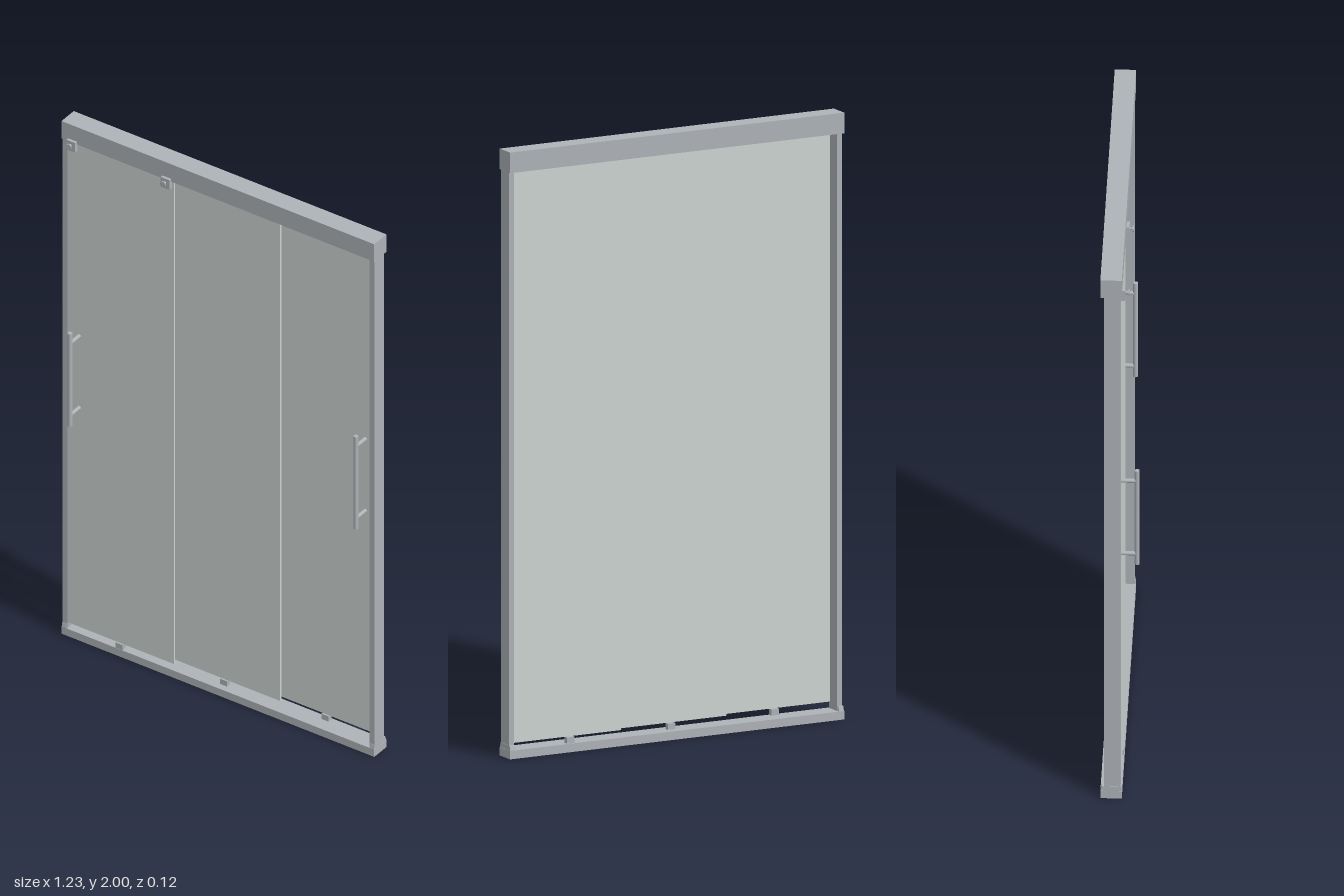
import * as THREE from 'three';

export function createModel() {
  const root = new THREE.Group();
  const frame = new THREE.MeshStandardMaterial({ color: 0xaeb3b8 });
  const glass = new THREE.MeshStandardMaterial({ color: 0xcdd4d1 });

  // Box given by its minimum and maximum along each axis
  function box(name, [x0, x1], [y0, y1], [z0, z1], parent = root, material = frame) {
    const mesh = new THREE.Mesh(new THREE.BoxGeometry(x1 - x0, y1 - y0, z1 - z0), material);
    mesh.position.set((x0 + x1) / 2, (y0 + y1) / 2, (z0 + z1) / 2);
    mesh.name = name;
    parent.add(mesh);
    return mesh;
  }

  // Round rod, upright or pointing along z
  function rod(name, radius, length, x, y, z, alongZ, parent) {
    const geometry = new THREE.CylinderGeometry(radius, radius, length, 24);
    if (alongZ) geometry.rotateX(Math.PI / 2);
    const mesh = new THREE.Mesh(geometry, frame);
    mesh.position.set(x, y, z);
    mesh.name = name;
    parent.add(mesh);
  }

  // Fixed frame: header, sill and the two jambs
  box('header', [-0.613, 0.613], [1.932, 2], [-0.062, 0.007]);
  box('sill', [-0.613, 0.613], [0, 0.028], [-0.062, 0.007]);
  for (const side of [-1, 1]) {
    const jamb = new THREE.Group();
    jamb.name = side > 0 ? 'leftJamb' : 'rightJamb';
    root.add(jamb);
    const span = (a, b) => (side > 0 ? [a, b] : [-b, -a]);
    box('jambPost', span(0.592, 0.611), [0.028, 1.932], [-0.051, 0.003], jamb);

    // Sloped end cap where the jamb meets the sill
    const profile = new THREE.Shape();
    profile.moveTo(-0.062, 0.028);
    profile.lineTo(0.007, 0.028);
    profile.lineTo(0.004, 0.044);
    profile.lineTo(-0.057, 0.044);
    const geometry = new THREE.ExtrudeGeometry(profile, { depth: 0.018, bevelEnabled: false });
    geometry.rotateY(-Math.PI / 2); // profile x becomes z, depth runs to -x
    const cap = new THREE.Mesh(geometry, frame);
    cap.position.x = side > 0 ? 0.612 : -0.594;
    cap.name = 'sillEndCap';
    jamb.add(cap);
  }

  // Hanger block with a round clamp knob
  function roller(x, z, parent) {
    const group = new THREE.Group();
    group.name = 'rollerHanger';
    parent.add(group);
    box('hangerBlock', [x - 0.017, x + 0.017], [1.905, 1.943], [z, z + 0.015], group);
    rod('knobStem', 0.004, 0.012, x, 1.928, z + 0.02, true, group);
    rod('knob', 0.011, 0.004, x, 1.928, z + 0.027, true, group);
  }

  // Pull handle standing off the glass on two posts
  function handle(x, z, parent) {
    const group = new THREE.Group();
    group.name = 'handle';
    parent.add(group);
    rod('handleBar', 0.008, 0.36, x, 1.045, z + 0.052, false, group);
    for (const y of [0.905, 1.185]) rod('handlePost', 0.007, 0.052, x, y, z + 0.026, true, group);
  }

  // Three glass panels on stepped tracks, each with its floor guide
  const panels = [
    { name: 'frontPanel', x: [-0.592, -0.175], z: 0.002, guide: -0.388, rollers: [-0.57, -0.2], handle: -0.547 },
    { name: 'middlePanel', x: [-0.2, 0.225], z: -0.021, guide: 0.005, rollers: [] },
    { name: 'backPanel', x: [0.2, 0.592], z: -0.044, guide: 0.387, rollers: [0.222, 0.56], handle: 0.542 },
  ];
  for (const p of panels) {
    const panel = new THREE.Group();
    panel.name = p.name;
    root.add(panel);
    box('glass', p.x, [0.05, 1.932], [p.z - 0.006, p.z], panel, glass);
    box('floorGuide', [p.guide - 0.014, p.guide + 0.014], [0.028, 0.048], [p.z - 0.013, p.z + 0.004], panel);
    for (const x of p.rollers) roller(x, p.z, panel);
    if (p.handle !== undefined) handle(p.handle, p.z, panel);
  }
  return root;
}
